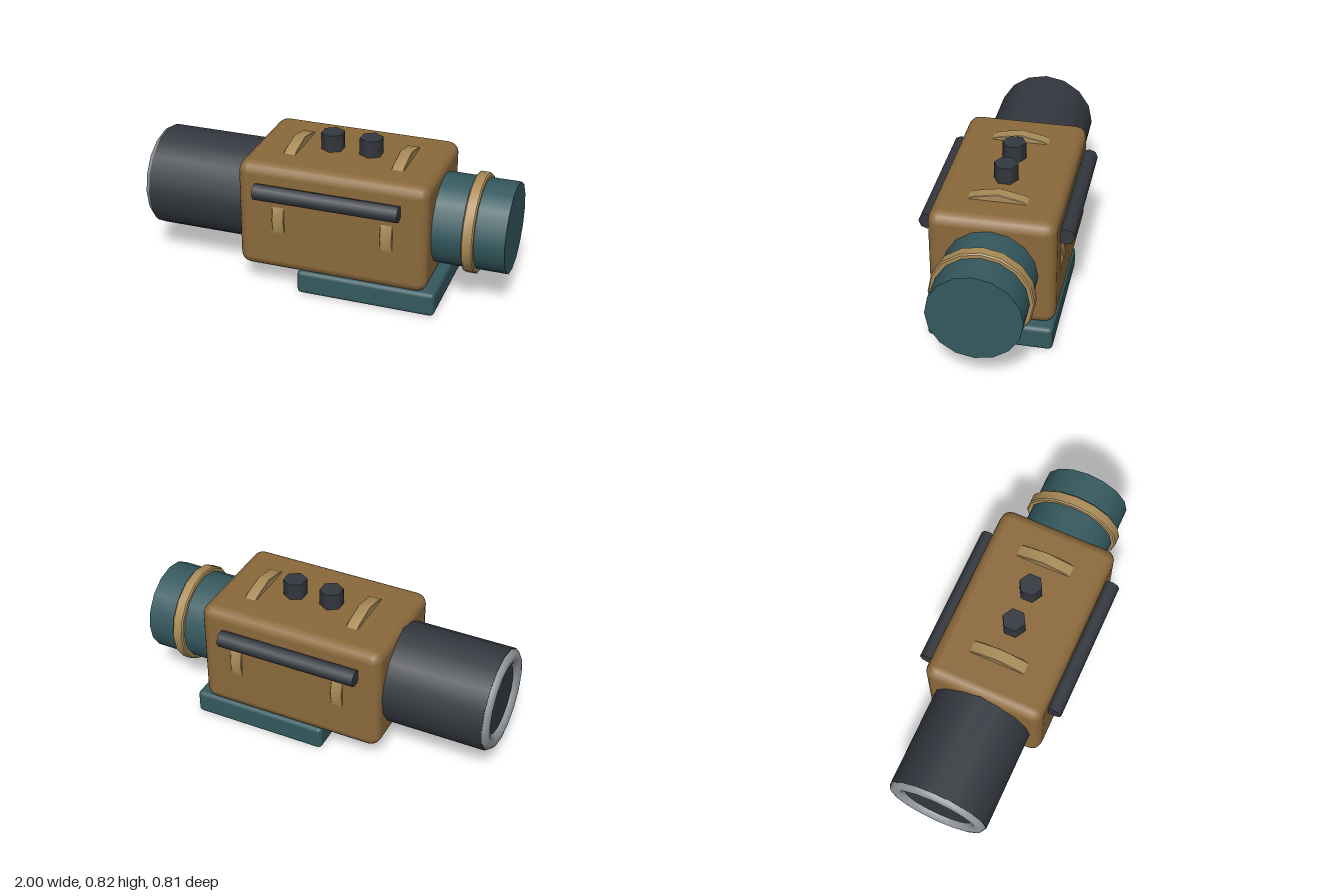
import * as THREE from 'three';
import { toCreasedNormals } from 'three/addons/utils/BufferGeometryUtils.js';
import { RoundedBoxGeometry } from 'three/addons/geometries/RoundedBoxGeometry.js';

const AXIS_Y = 0.425; // height of the optical axis

function material(name, color) {
  const m = new THREE.MeshStandardMaterial({ color });
  m.name = name;
  return m;
}

// Cylinder lying along x between x0 and x1
function tubeX(r, x0, x1, sides) {
  return new THREE.CylinderGeometry(r, r, x1 - x0, sides).rotateZ(Math.PI / 2).translate((x0 + x1) / 2, 0, 0);
}

// Closed band around x with slightly bevelled rims
function bandX(r, width, bevel) {
  const h = width / 2;
  const profile = [[0, -h], [r - bevel, -h], [r, -h + bevel], [r, h - bevel], [r - bevel, h], [0, h]];
  const g = new THREE.LatheGeometry(profile.map(([a, b]) => new THREE.Vector2(a, b)), 16);
  return toCreasedNormals(g.rotateZ(Math.PI / 2), 0.6);
}

export function createModel() {
  const model = new THREE.Group();
  model.name = 'opticalSight';

  const bronze = material('bronze', 0x8c6a3c);
  const tan = material('tan', 0xaa8c58);
  const teal = material('teal', 0x34595f);
  const charcoal = material('charcoal', 0x343940);
  const silver = material('silver', 0x8f959b);

  function add(name, geometry, mat, x = 0, y = 0, z = 0) {
    const mesh = new THREE.Mesh(geometry, mat);
    mesh.name = name;
    mesh.position.set(x, y, z);
    model.add(mesh);
    return mesh;
  }

  // Housing and mounting foot
  add('body', new RoundedBoxGeometry(1.04, 0.61, 0.66, 2, 0.06), bronze, 0.095, AXIS_Y, 0);
  add('base', new RoundedBoxGeometry(0.76, 0.135, 0.66, 2, 0.024), teal, 0.285, 0.0675, 0);

  // Objective barrel with a rounded rim
  add('barrel', tubeX(0.278, -0.97, -0.38, 16), charcoal, 0, AXIS_Y, 0);
  const rim = [[0.275, 0.965], [0.27, 0.983], [0.256, 0.996], [0.238, 1], [0.216, 0.996], [0.198, 0.983], [0.19, 0.965]];
  add('lensRim', new THREE.LatheGeometry(rim.map(([r, d]) => new THREE.Vector2(r, d)), 16).rotateZ(Math.PI / 2),
    silver, 0, AXIS_Y, 0);

  // Eyepiece and its grip ring
  add('eyepiece', tubeX(0.245, 0.56, 1, 16), teal, 0, AXIS_Y, 0);
  add('eyepieceRing', bandX(0.27, 0.063, 0.007), tan, 0.808, AXIS_Y, 0);

  // Straps that break through the housing on each side
  for (const x of [-0.191, 0.402]) add('strap', bandX(0.345, 0.066, 0.003), tan, x, AXIS_Y, 0);

  // Side rails
  for (const side of [1, -1]) add('sideRail', tubeX(0.045, -0.31, 0.475, 8), charcoal, 0, 0.59, side * 0.36);

  // Hexagonal adjustment knobs
  for (const x of [-0.002, 0.212]) {
    add('knob', new THREE.CylinderGeometry(0.064, 0.064, 0.14, 6), charcoal, x, 0.753, 0);
  }

  return model;
}
